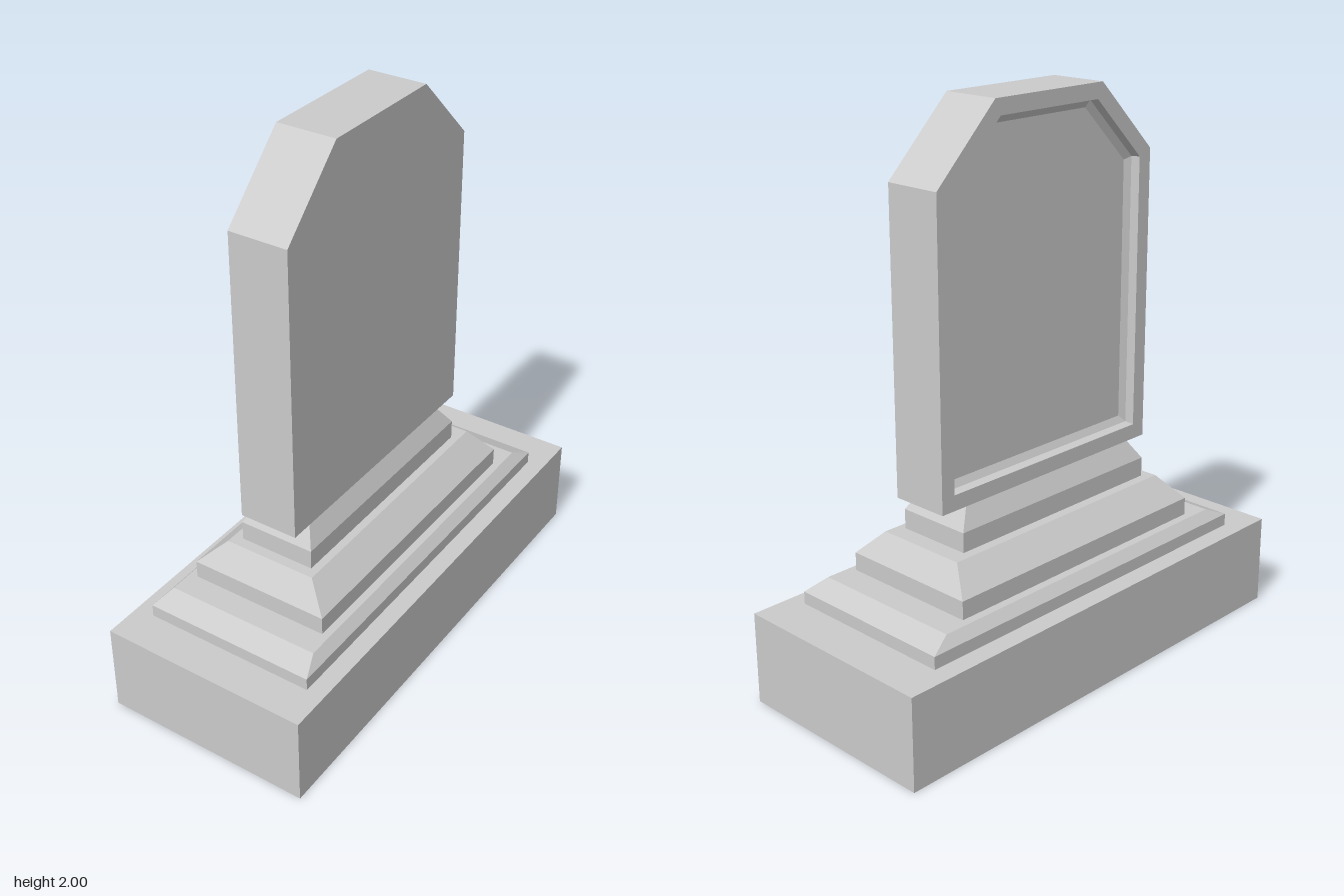
import * as THREE from 'three';

const material = new THREE.MeshStandardMaterial({ color: 0xcccccc, flatShading: true });

// Skin a stack of matching convex rings and cap both ends
function loft(name, rings) {
  const pos = [];
  const tri = (a, b, c) => pos.push(...a, ...b, ...c);
  const n = rings[0].length;
  for (let i = 0; i < rings.length - 1; i++) {
    for (let j = 0; j < n; j++) {
      const k = (j + 1) % n;
      const [a, b, c, d] = [rings[i][j], rings[i][k], rings[i + 1][k], rings[i + 1][j]];
      tri(a, b, c);
      tri(a, c, d);
    }
  }
  const first = rings[0], last = rings[rings.length - 1];
  for (let j = 1; j < n - 1; j++) {
    tri(first[0], first[j + 1], first[j]);
    tri(last[0], last[j], last[j + 1]);
  }
  const geo = new THREE.BufferGeometry();
  geo.setAttribute('position', new THREE.Float32BufferAttribute(pos, 3));
  geo.computeVertexNormals();
  const mesh = new THREE.Mesh(geo, material);
  mesh.name = name;
  return mesh;
}

// Horizontal rectangle at height y
const rect = (y, x0, x1, z0, z1) => [[x1, y, z1], [x1, y, z0], [x0, y, z0], [x0, y, z1]];

// Upright slab outline with clipped top corners, inset evenly by i
function slabRing(x, i = 0) {
  const mid = 0.015, side = 0.5 - i, top = 0.248 - 0.414 * i;
  const shoulder = 1.75 - 0.414 * i;
  return [
    [side, 0.7 + i], [side, shoulder], [top, 2 - i],
    [-top, 2 - i], [-side, shoulder], [-side, 0.7 + i],
  ].map(([z, y]) => [x, y, z + mid]);
}

export function createModel() {
  const group = new THREE.Group();
  group.name = 'headstone';

  // Plinth block
  const plinth = new THREE.Mesh(new THREE.BoxGeometry(0.77, 0.33, 1.78), material);
  plinth.position.y = 0.165;
  plinth.name = 'plinth';
  group.add(plinth);

  // Three steps, each with a straight edge and a sloped top
  group.add(loft('lowerStep', [
    rect(0.33, -0.315, 0.32, -0.73, 0.75),
    rect(0.375, -0.315, 0.32, -0.73, 0.75),
    rect(0.41, -0.285, 0.29, -0.65, 0.67),
  ]));
  group.add(loft('middleStep', [
    rect(0.41, -0.255, 0.263, -0.55, 0.58),
    rect(0.475, -0.255, 0.263, -0.55, 0.58),
    rect(0.56, -0.167, 0.177, -0.488, 0.513),
  ]));
  group.add(loft('neck', [
    rect(0.56, -0.132, 0.148, -0.425, 0.475),
    rect(0.63, -0.132, 0.148, -0.425, 0.475),
    rect(0.7, -0.095, 0.112, -0.375, 0.43),
  ]));

  // Slab, plain on one face, with a raised rim and sunken panel on the other
  group.add(loft('slab', [
    slabRing(0.115),
    slabRing(-0.1),
    slabRing(-0.1, 0.055),
    slabRing(-0.068, 0.06),
    slabRing(-0.055, 0.085),
  ]));

  return group;
}
